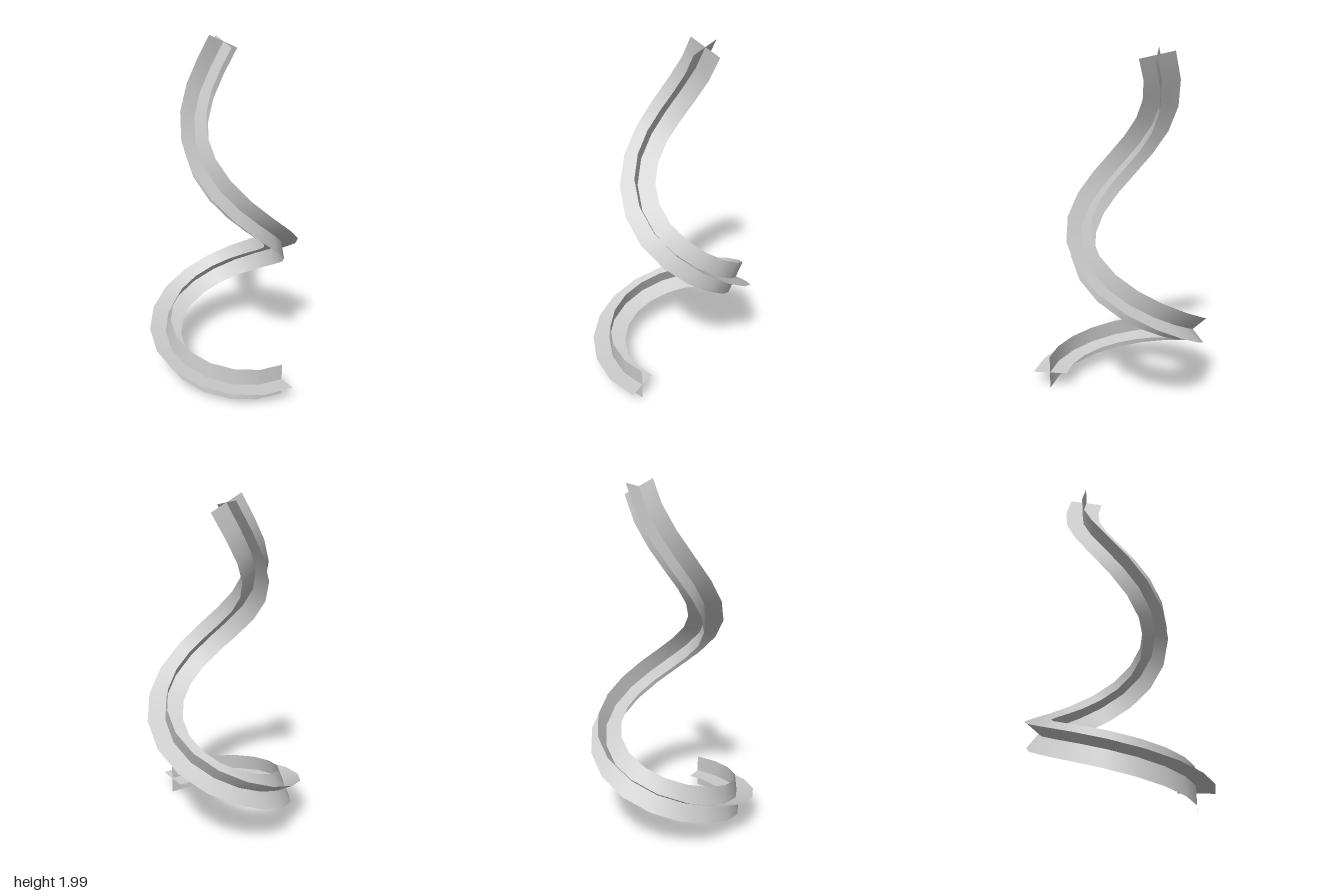
import * as THREE from 'three';

const SEGMENTS = 25;
const HALF_WIDTH = 0.1;
const SWEEP = 6.27 * Math.PI / 2;

// Rising spiral that tightens as it climbs ever more steeply
class RisingSpiral extends THREE.Curve {
  getPoint(t, target = new THREE.Vector3()) {
    const angle = t * SWEEP;
    const radius = 0.4725 - 0.315 * t;
    return target.set(
      -0.0625 + radius * Math.cos(angle),
      0.105 + 1.85 * Math.pow(Math.max(t, 0), 1.6),
      -0.05 + radius * Math.sin(angle)
    );
  }
}

// Flat strip swept along the path, spread to both sides along the given directions
function ribbon(name, points, directions, material) {
  const positions = [];
  const index = [];
  points.forEach((p, i) => {
    for (const side of [-HALF_WIDTH, HALF_WIDTH]) {
      positions.push(...p.clone().addScaledVector(directions[i], side).toArray());
    }
    if (i < SEGMENTS) {
      const a = 2 * i;
      index.push(a, a + 1, a + 2, a + 1, a + 3, a + 2);
    }
  });
  const geometry = new THREE.BufferGeometry();
  geometry.setAttribute('position', new THREE.Float32BufferAttribute(positions, 3));
  geometry.setIndex(index);
  geometry.computeVertexNormals();
  const mesh = new THREE.Mesh(geometry, material);
  mesh.name = name;
  return mesh;
}

export function createModel() {
  const group = new THREE.Group();
  group.name = 'spiralTrail';
  const material = new THREE.MeshStandardMaterial({ color: 0xcccccc, side: THREE.DoubleSide });

  // Evenly spaced path points with a frame carried along without twist
  const path = new RisingSpiral();
  path.arcLengthDivisions = 600;
  const points = path.getSpacedPoints(SEGMENTS);
  const frames = path.computeFrenetFrames(SEGMENTS, false);

  // Two ribbons crossing at right angles along the same path
  group.add(ribbon('uprightRibbon', points, frames.normals, material));
  group.add(ribbon('flatRibbon', points, frames.binormals, material));
  return group;
}
